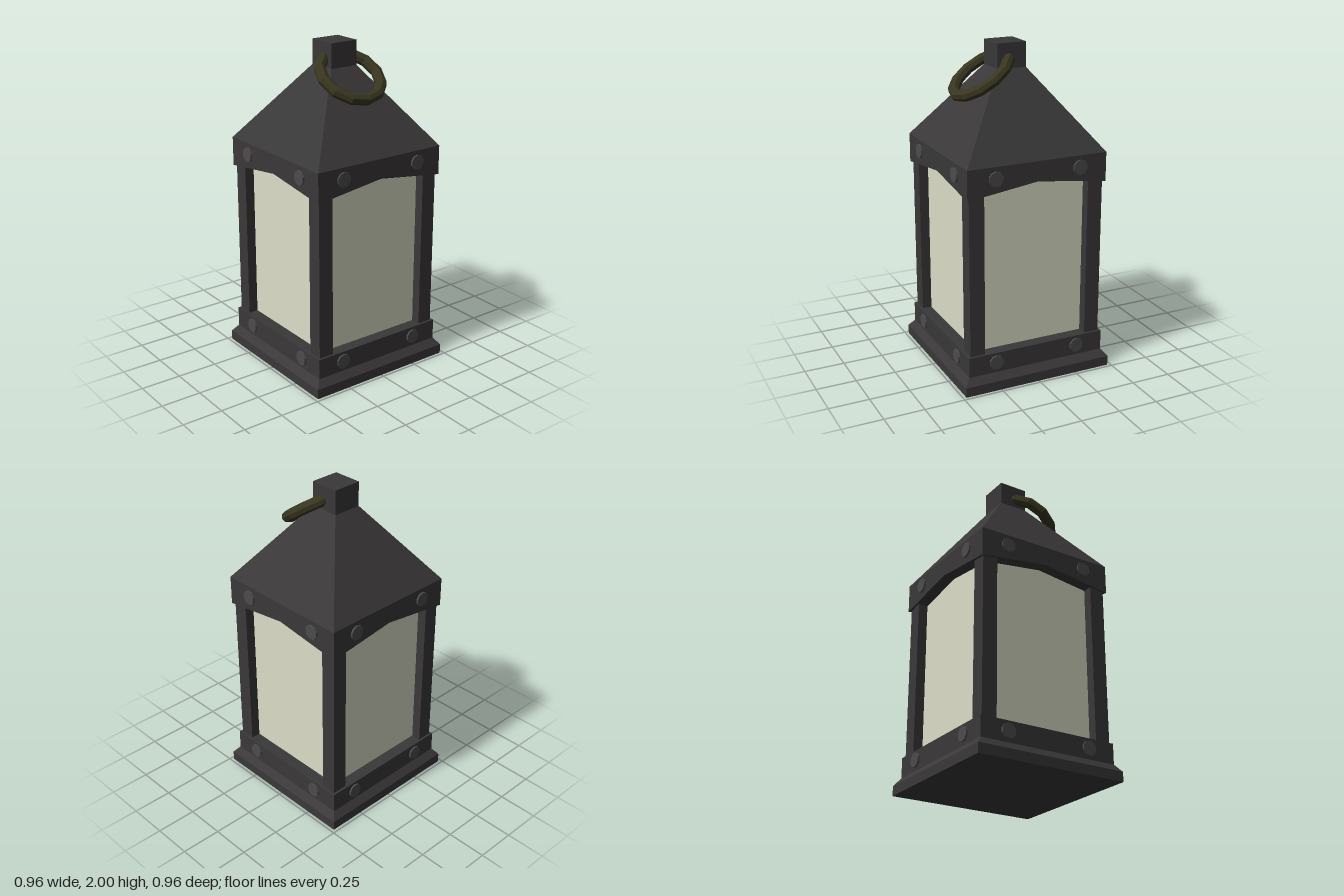
import * as THREE from 'three';

const mat = (color) => new THREE.MeshStandardMaterial({ color, flatShading: true });

// Square outline with edge midpoints, running round as seen from outside
const OUTLINE = [[-1, 1], [0, 1], [1, 1], [1, 0], [1, -1], [0, -1], [-1, -1], [-1, 0]];

// Skin square levels [half width, y at corners, y at edge midpoints] from bottom to top
function squareLoft(levels) {
  const pos = [];
  const point = ([half, corner, mid = corner], i) => {
    const [x, z] = OUTLINE[i % 8];
    return [x * half, i % 2 ? mid : corner, z * half];
  };
  for (let l = 0; l < levels.length - 1; l++) {
    const lo = levels[l], hi = levels[l + 1];
    for (let i = 0; i < 8; i++) {
      const a = point(lo, i), b = point(lo, i + 1), c = point(hi, i + 1), d = point(hi, i);
      if (lo[0] > 0) pos.push(...a, ...b, ...c);
      if (hi[0] > 0) pos.push(...a, ...c, ...d);
    }
  }
  const geo = new THREE.BufferGeometry();
  geo.setAttribute('position', new THREE.Float32BufferAttribute(pos, 3));
  geo.computeVertexNormals();
  return geo;
}

export function createModel() {
  const lantern = new THREE.Group();
  lantern.name = 'lantern';
  const iron = mat(0x3a3838), bolt = mat(0x4c4c4c), glass = mat(0xdcdec8), bronze = mat(0x38361f);

  const add = (name, geo, material, x = 0, y = 0, z = 0, parent = lantern) => {
    const mesh = new THREE.Mesh(geo, material);
    mesh.name = name;
    mesh.position.set(x, y, z);
    parent.add(mesh);
    return mesh;
  };

  // Stepped base with a sloping shoulder, and the band above it
  add('base', squareLoft([[0, 0], [0.48, 0], [0.48, 0.06], [0.445, 0.105], [0, 0.105]]), iron);
  add('lowerBand', squareLoft([[0.445, 0.105], [0.445, 0.23], [0, 0.23]]), iron);

  // Glass body, recessed between the corner posts
  add('glass', new THREE.BoxGeometry(0.74, 1.05, 0.74), glass, 0, 0.75, 0);
  for (const x of [-1, 1]) for (const z of [-1, 1]) {
    add('cornerPost', new THREE.BoxGeometry(0.095, 1.05, 0.095), iron, x * 0.3825, 0.74, z * 0.3825);
  }

  // Roof with a peaked lower edge on every side, and the square cap
  add('roof', squareLoft([
    [0, 1.26], [0.445, 1.2, 1.26], [0.445, 1.38], [0.092, 1.85], [0, 1.85],
  ]), iron);
  add('cap', new THREE.BoxGeometry(0.184, 0.17, 0.184), iron, 0, 1.915, 0);

  // Two bolts on each band, repeated on the four sides
  const boltGeo = new THREE.CylinderGeometry(0.045, 0.045, 0.03, 10).rotateX(Math.PI / 2);
  for (let side = 0; side < 4; side++) {
    const group = new THREE.Group();
    group.name = 'sideBolts';
    group.rotation.y = side * Math.PI / 2;
    for (const x of [-0.27, 0.27]) for (const y of [0.17, 1.31]) {
      add('bolt', boltGeo, bolt, x, y, 0.441, group);
    }
    lantern.add(group);
  }

  // Carrying ring, threaded through the cap and leaning forward
  const ring = add('ring', new THREE.TorusGeometry(0.19, 0.035, 8, 12), bronze, 0, 1.81, 0.155);
  ring.rotation.x = -0.957;

  return lantern;
}
